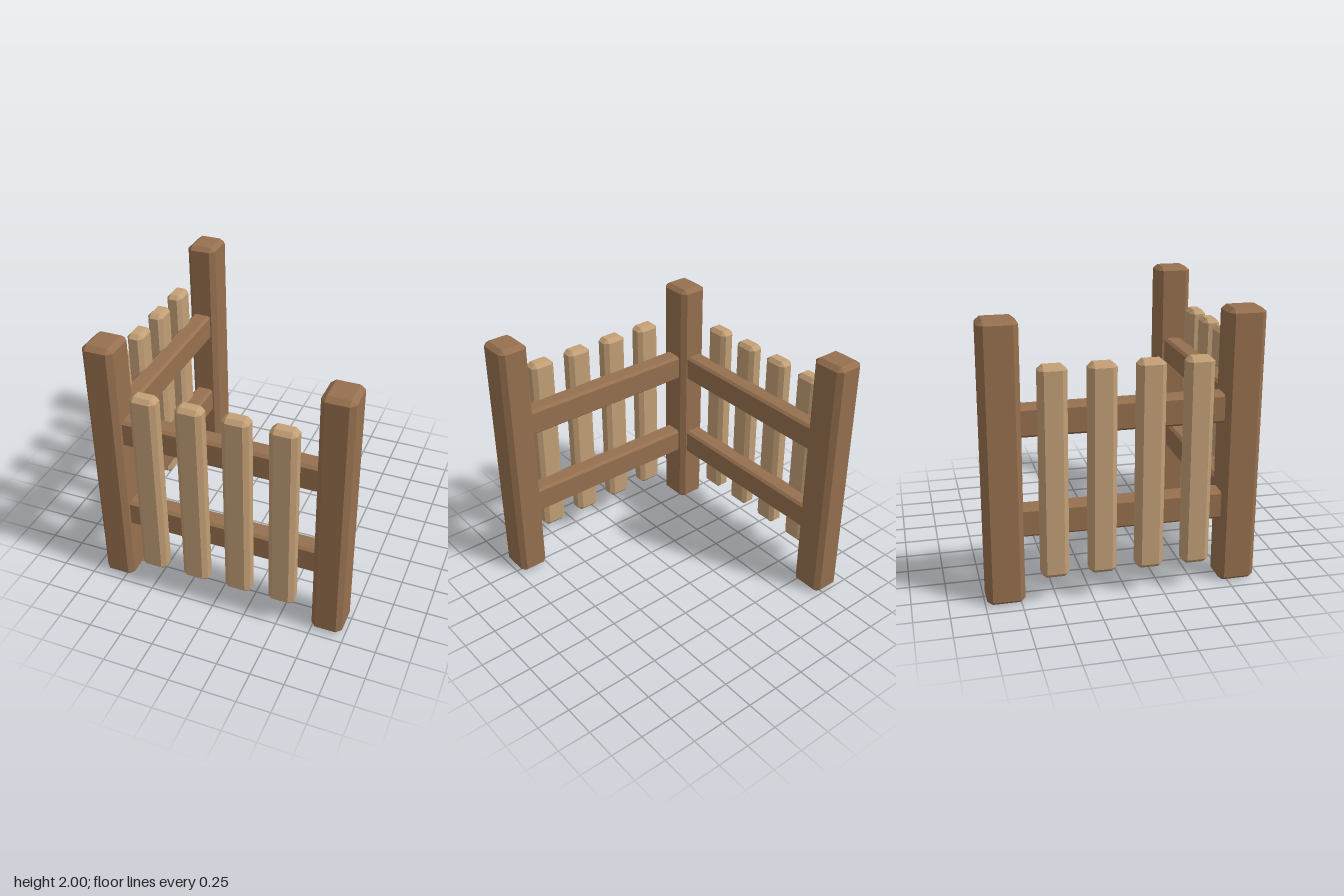
import * as THREE from 'three';
import { ConvexGeometry } from 'three/addons/geometries/ConvexGeometry.js';

const darkWood = new THREE.MeshStandardMaterial({ color: 0x96704f, flatShading: true });
const lightWood = new THREE.MeshStandardMaterial({ color: 0xc29f76, flatShading: true });

// Beam between two corners with every edge chamfered; bevel is given per axis
function beam(name, min, max, bevel, material) {
  const half = min.map((v, i) => (max[i] - v) / 2);
  const points = [];
  for (let axis = 0; axis < 3; axis++) {
    for (const sx of [-1, 1]) for (const sy of [-1, 1]) for (const sz of [-1, 1]) {
      const p = [sx, sy, sz].map((s, i) => s * (half[i] - (i === axis ? 0 : bevel[i])));
      points.push(new THREE.Vector3(...p));
    }
  }
  const mesh = new THREE.Mesh(new ConvexGeometry(points), material);
  mesh.name = name;
  mesh.position.set(...min.map((v, i) => (v + max[i]) / 2));
  return mesh;
}

export function createModel() {
  const fence = new THREE.Group();
  fence.name = 'cornerFence';

  // Posts: corner, front end and back end
  const posts = [['cornerPost', -0.805, 0.815], ['frontEndPost', 0.86, 0.815], ['backEndPost', -0.805, -0.855]];
  for (const [name, x, z] of posts) {
    fence.add(beam(name, [x - 0.115, 0, z - 0.133], [x + 0.115, 2, z + 0.133], [0.037, 0.03, 0.037], darkWood));
  }

  // Two rails on each side, let into the posts
  for (const y of [0.485, 1.2]) {
    const top = y + 0.208;
    fence.add(beam('frontRail', [-0.78, y, 0.738], [0.84, top, 0.888], [0.02, 0.018, 0.022], darkWood));
    fence.add(beam('sideRail', [-0.885, y, -0.83], [-0.737, top, 0.8], [0.02, 0.018, 0.02], darkWood));
  }

  // Four pickets on the outer face of each side
  for (let i = 0; i < 4; i++) {
    const x = -0.476 + i * 0.333;
    const z = 0.48 - i * 0.333;
    fence.add(beam('frontPicket', [x - 0.096, 0.2, 0.862], [x + 0.096, 1.7, 0.986], [0.034, 0.03, 0.028], lightWood));
    fence.add(beam('sidePicket', [-0.978, 0.2, z - 0.096], [-0.854, 1.7, z + 0.096], [0.028, 0.03, 0.034], lightWood));
  }
  return fence;
}
